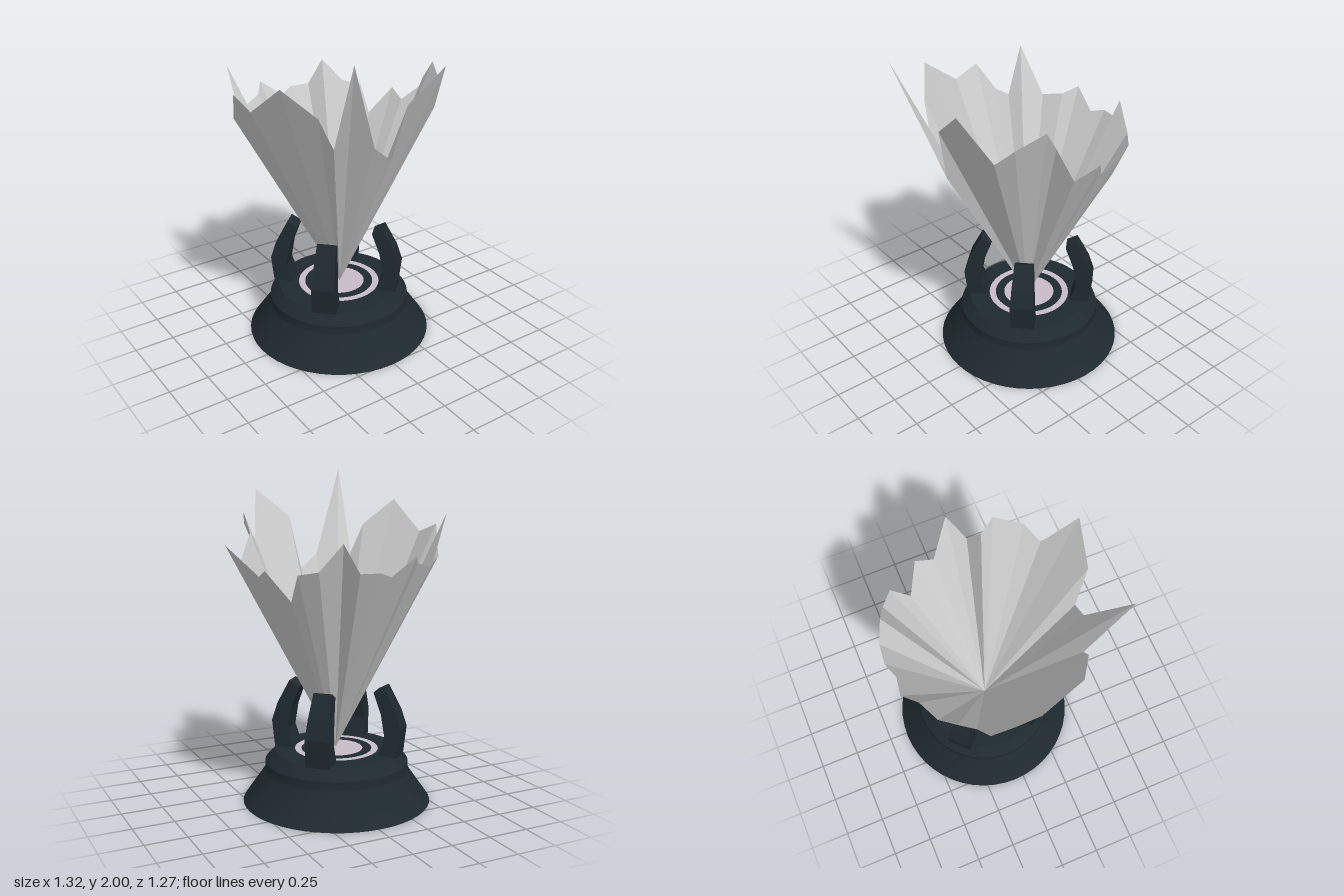
import * as THREE from 'three';
import { toCreasedNormals } from 'three/addons/utils/BufferGeometryUtils.js';

const dark = new THREE.MeshStandardMaterial({ color: 0x1f2a2f });
const darkFlat = new THREE.MeshStandardMaterial({ color: 0x1f2a2f, flatShading: true });
const pale = new THREE.MeshStandardMaterial({ color: 0xc8bcc6 });
const beamGrey = new THREE.MeshStandardMaterial({ color: 0xcccccc, flatShading: true, side: THREE.DoubleSide });

function add(parent, name, geometry, material) {
  const mesh = new THREE.Mesh(geometry, material);
  mesh.name = name;
  parent.add(mesh);
  return mesh;
}

// Claw sections from bottom to top: outer radius, outer y, inner radius, inner y, half width
const CLAW = [
  [0.39, 0.31, 0.27, 0.31, 0.075],
  [0.41, 0.48, 0.31, 0.43, 0.072],
  [0.375, 0.59, 0.285, 0.57, 0.066],
  [0.30, 0.735, 0.235, 0.70, 0.056],
];

function clawGeometry() {
  const geo = new THREE.BoxGeometry(2, 3, 2, 1, 3, 1);
  const p = geo.attributes.position;
  for (let i = 0; i < p.count; i++) {
    const [ro, yo, ri, yi, half] = CLAW[Math.round(p.getY(i) + 1.5)];
    const outer = p.getZ(i) > 0;
    p.setXYZ(i, p.getX(i) * half, outer ? yo : yi, outer ? ro : ri);
  }
  geo.computeVertexNormals();
  return geo;
}

// Jagged rim of the beam, around from the left tip towards the front: x, y, z
const RIM = [
  [0.655, 1.585, 0], [0.54, 1.46, 0.08], [0.45, 1.64, 0.135], [0.46, 1.76, 0.21],
  [0.395, 1.68, 0.37], [0.30, 1.58, 0.435], [0.22, 1.88, 0.61], [0, 1.70, 0.58],
  [-0.05, 1.365, 0.51], [-0.16, 1.46, 0.505], [-0.385, 2.0, 0.635], [-0.36, 1.465, 0.41],
  [-0.44, 1.65, 0.385], [-0.60, 1.81, 0.27], [-0.645, 1.62, 0.025], [-0.66, 1.675, -0.14],
  [-0.61, 1.49, -0.25], [-0.54, 1.46, -0.30], [-0.557, 1.76, -0.41], [-0.41, 1.46, -0.475],
  [-0.29, 1.49, -0.535], [-0.23, 1.54, -0.615], [-0.085, 1.43, -0.595], [0, 1.46, -0.63],
  [0.12, 1.46, -0.615], [0.195, 1.62, -0.565], [0.32, 1.47, -0.52], [0.41, 1.45, -0.445],
  [0.40, 1.29, -0.335], [0.52, 1.46, -0.25], [0.51, 1.415, -0.14],
];

function beamGeometry() {
  const apex = [-0.02, 0.32, -0.048];
  const positions = [];
  RIM.forEach((point, i) => {
    positions.push(...apex, ...RIM[(i + 1) % RIM.length], ...point);
  });
  // Reverse each triangle so that its front looks outwards
  const geo = new THREE.BufferGeometry();
  geo.setAttribute('position', new THREE.Float32BufferAttribute(positions, 3));
  geo.setIndex(RIM.flatMap((_, i) => [3 * i, 3 * i + 2, 3 * i + 1]));
  geo.computeVertexNormals();
  return geo;
}

export function createModel() {
  const model = new THREE.Group();
  model.name = 'crystalBeamProjector';

  const projector = new THREE.Group();
  projector.name = 'projector';
  projector.position.set(-0.021, 0, -0.058);
  model.add(projector);

  // Stepped round base
  const profile = [
    [0, 0], [0.575, 0], [0.442, 0.19], [0.438, 0.2], [0.438, 0.25], [0.378, 0.315], [0, 0.315],
  ].map(([r, y]) => new THREE.Vector2(r, y));
  add(projector, 'base', toCreasedNormals(new THREE.LatheGeometry(profile, 48), 0.45), dark);

  // Pale lens disc and ring set on the top
  const ring = add(projector, 'lensRing', new THREE.RingGeometry(0.215, 0.255, 48), pale);
  const disc = add(projector, 'lensDisc', new THREE.CircleGeometry(0.16, 48), pale);
  for (const part of [ring, disc]) {
    part.rotation.x = -Math.PI / 2;
    part.position.y = 0.319;
  }

  // Four bent claws on the diagonals
  const claw = clawGeometry();
  for (let i = 0; i < 4; i++) {
    const mesh = add(projector, 'claw', claw, darkFlat);
    mesh.position.set(-0.01, 0, -0.01);
    mesh.rotation.y = Math.PI / 4 + i * Math.PI / 2;
  }

  // Open faceted beam rising from the lens
  add(model, 'beam', beamGeometry(), beamGrey);

  return model;
}
